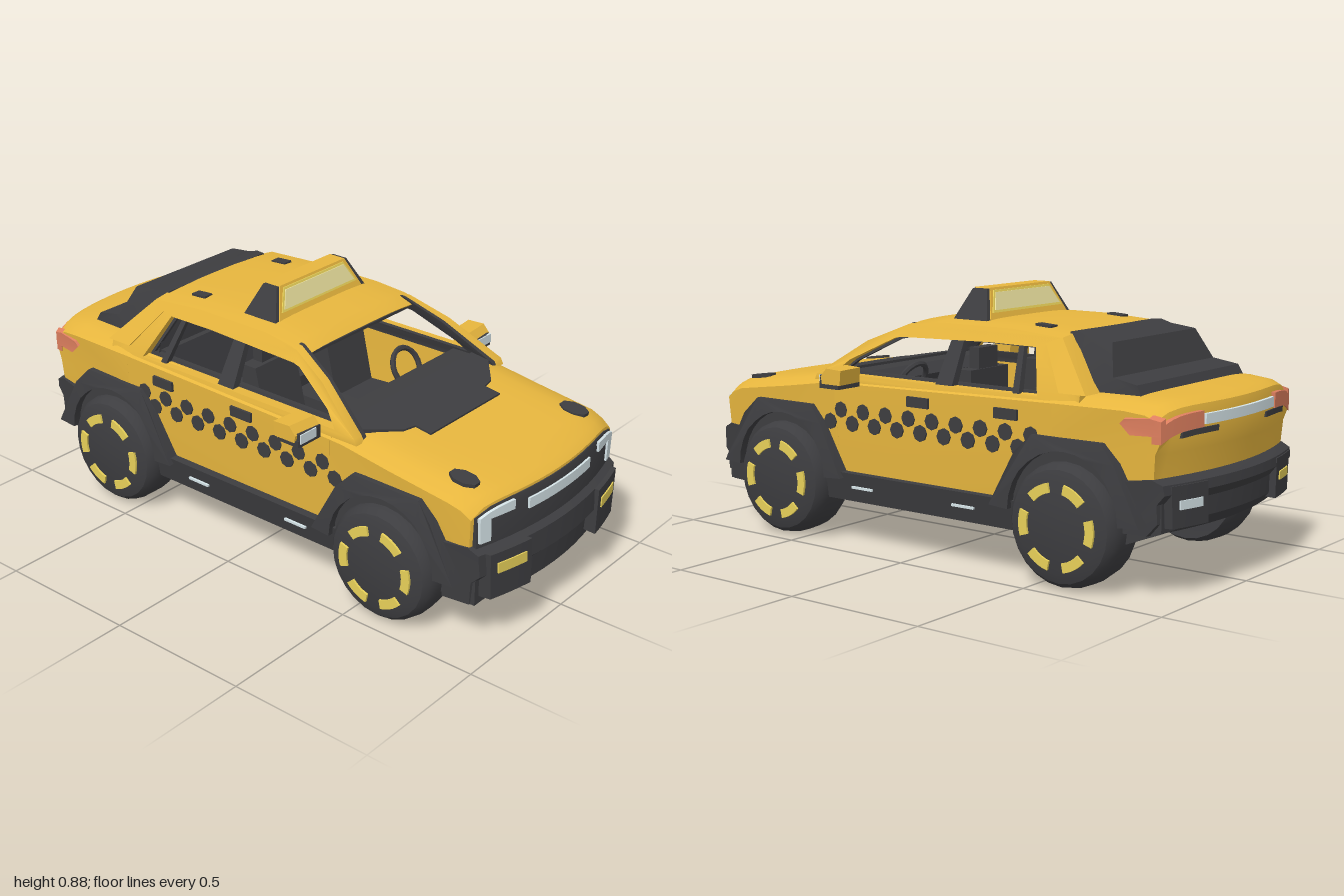
import * as THREE from 'three';
import { toCreasedNormals } from 'three/addons/utils/BufferGeometryUtils.js';

const mat = (name, color) => {
  const m = new THREE.MeshStandardMaterial({ color });
  m.name = name;
  return m;
};

export function createModel() {
  const car = new THREE.Group();
  car.name = 'taxi';
  const yellow = mat('taxi yellow', 0xe7b63e);
  const dark = mat('charcoal', 0x3d3d40);
  const cream = mat('sign cream', 0xfff4ac);
  const amber = mat('lamp yellow', 0xefd75c);
  const silver = mat('lamp silver', 0xdcebef);
  const red = mat('tail light red', 0xdc7e5e);

  const clamp = THREE.MathUtils.clamp;

  // Lower body: bowed ends, narrowing towards corners and sills, rounded shoulder
  const bodyWarp = (p) => {
    const t = Math.abs(p.x) / 0.41, a = Math.abs(p.z);
    const end = Math.max(0, a - 0.8);
    if (p.y > 0.45) p.y -= 0.035 * Math.min(1, t) ** 8;
    p.x *= (1 - 1.2 * end * end) * (1 - 0.15 * Math.max(0, 0.45 - p.y));
    p.z -= Math.sign(p.z) * 0.06 * t * t * clamp(end / 0.12, 0, 1);
  };
  // Cabin: sides lean inwards, roof slightly crowned
  const cabinWarp = (p) => {
    const t = Math.abs(p.x) / 0.4;
    p.x *= 1 - 0.25 * clamp((p.y - 0.58) / 0.19, 0, 1.1);
    if (p.y > 0.7) p.y -= 0.014 * t ** 4;
  };
  const rearGlassWarp = (p) => { p.x *= 1 - 0.22 * clamp((p.y - 0.63) / 0.13, 0, 1); };
  const signWarp = (p) => { p.x *= 1 - 0.25 * clamp((p.y - 0.79) / 0.09, 0, 1); };
  const archWarp = (p) => { if (p.y > 0.38 && Math.abs(p.x) > 0.42) p.x *= p.y > 0.45 ? 0.955 : 0.985; };

  const add = (name, geo, material, warp) => {
    if (warp) {
      const pos = geo.attributes.position, p = new THREE.Vector3();
      for (let i = 0; i < pos.count; i++) {
        p.fromBufferAttribute(pos, i);
        warp(p);
        pos.setXYZ(i, p.x, p.y, p.z);
      }
    }
    const mesh = new THREE.Mesh(toCreasedNormals(geo, 0.55), material);
    mesh.name = name;
    car.add(mesh);
  };
  // Side profile of [z, y] points extruded from x0 to x1
  const slab = (points, x0, x1, steps = 1, hole = null) => {
    const v = (list) => list.map(([z, y]) => new THREE.Vector2(z, y));
    const shape = new THREE.Shape(v(points));
    if (hole) shape.holes.push(new THREE.Path(v(hole)));
    const g = new THREE.ExtrudeGeometry(shape, { depth: x1 - x0, steps, bevelEnabled: false });
    return g.rotateY(-Math.PI / 2).translate(x1, 0, 0);
  };
  const sideSlab = (s, points, x0, x1, hole) =>
    s > 0 ? slab(points, x0, x1, 1, hole) : slab(points, -x1, -x0, 1, hole);
  const box = (x, y, z, w, h, d, n = 1) =>
    new THREE.BoxGeometry(w, h, d, n, 1, 1).translate(x, y, z);
  // Points along an arc, as [z, y]
  const arc = (r, from, to, n, z = 0, y = 0) => Array.from({ length: n + 1 }, (_, i) => {
    const a = from + (to - from) * i / n;
    return [z + r * Math.cos(a), y + r * Math.sin(a)];
  });

  // Hood and trunk blocks
  add('hood', slab([[0.36, 0.25], [0.36, 0.45], [0.36, 0.585], [0.42, 0.582], [0.6, 0.555], [0.85, 0.525],
    [0.93, 0.51], [0.96, 0.49], [0.965, 0.45], [0.955, 0.25]], -0.41, 0.41, 16), yellow, bodyWarp);
  add('trunk', slab([[-0.54, 0.25], [-0.54, 0.45], [-0.54, 0.605], [-0.8, 0.608], [-0.93, 0.6], [-0.965, 0.585],
    [-0.98, 0.52], [-0.965, 0.45], [-0.95, 0.25]], -0.41, 0.41, 16), yellow, bodyWarp);
  add('floor', slab([[0.92, 0.15], [-0.77, 0.15], [-0.92, 0.21], [-0.92, 0.3], [0.92, 0.3]], -0.38, 0.38), dark);

  // Roof with rear pillars' sloping backs
  add('roof', slab([[0.17, 0.745], [0.12, 0.772], [0, 0.786], [-0.3, 0.786], [-0.5, 0.772], [-0.65, 0.6],
    [-0.55, 0.6], [-0.45, 0.745], [0.15, 0.73]], -0.4, 0.4, 12), yellow, cabinWarp);
  add('headliner', slab([[0.145, 0.732], [-0.44, 0.748], [-0.44, 0.738], [0.145, 0.722]], -0.36, 0.36), dark, cabinWarp);
  add('rearWindow', slab([[-0.49, 0.772], [-0.52, 0.774], [-0.56, 0.762], [-0.65, 0.75], [-0.69, 0.65],
    [-0.78, 0.635], [-0.8, 0.6], [-0.5, 0.6]], -0.31, 0.31, 6), dark, rearGlassWarp);
  add('rearBulkhead', slab([[-0.44, 0.3], [-0.44, 0.58], [-0.455, 0.74], [-0.5, 0.74], [-0.56, 0.3]],
    -0.36, 0.36), dark, cabinWarp);

  // Windscreen base and dashboard
  const cowl = new THREE.Shape([[-0.35, 0.38], [-0.35, 0.44], [-0.24, 0.53], [-0.19, 0.54], [-0.19, 0.6],
    [0.19, 0.6], [0.19, 0.54], [0.24, 0.53], [0.35, 0.44], [0.35, 0.38]].map(([x, z]) => new THREE.Vector2(x, -z)));
  add('cowl', new THREE.ExtrudeGeometry(cowl, { depth: 0.012, bevelEnabled: false }).rotateX(-Math.PI / 2),
    dark, (p) => { p.y += 0.549 + (0.6 - p.z) * 0.15; });
  add('dashboard', slab([[0.43, 0.585], [0.3, 0.585], [0.26, 0.55], [0.28, 0.47], [0.34, 0.4], [0.34, 0.3],
    [0.4, 0.3]], -0.355, 0.355), dark);
  add('console', box(0, 0.37, 0.1, 0.1, 0.14, 0.4), dark);
  add('steeringWheel', new THREE.TorusGeometry(0.065, 0.01, 6, 20).rotateX(-0.5).translate(0.18, 0.55, 0.22), dark);

  // Seats
  for (const x of [-0.18, 0.18]) {
    add('frontSeat', slab([[0.14, 0.3], [0.15, 0.41], [-0.01, 0.4], [-0.06, 0.62], [-0.12, 0.62], [-0.12, 0.3]],
      x - 0.1, x + 0.1), dark);
    add('headrest', box(x, 0.655, -0.095, 0.1, 0.07, 0.04), dark);
  }
  add('rearSeat', slab([[-0.2, 0.3], [-0.2, 0.41], [-0.37, 0.4], [-0.42, 0.6], [-0.46, 0.6], [-0.46, 0.3]],
    -0.34, 0.34), dark);

  // Parts on both sides
  const pillarFrame = [[0.47, 0.555], [0.46, 0.575], [0.28, 0.695], [0.14, 0.768], [0, 0.778], [-0.49, 0.77],
    [-0.63, 0.6], [-0.63, 0.555]];
  const windowHole = [[0.38, 0.583], [0.33, 0.63], [0.17, 0.725], [0.08, 0.742], [-0.41, 0.738], [-0.475, 0.583]];
  const liningHole = [[0.36, 0.592], [0.322, 0.625], [0.165, 0.715], [0.08, 0.731], [-0.402, 0.727], [-0.46, 0.592]];
  const archOuter = [[0.28, 0.23], [0.185, 0.41], [0.13, 0.468], [-0.13, 0.468], [-0.185, 0.41], [-0.28, 0.23]];
  const tyre = [[0, -0.08], [0.14, -0.08], [0.18, -0.085], [0.194, -0.06], [0.2, -0.02], [0.2, 0.03],
    [0.193, 0.062], [0.178, 0.08], [0.145, 0.091], [0, 0.093]].map(([r, y]) => new THREE.Vector2(r, y));

  for (const s of [1, -1]) {
    add('doors', sideSlab(s, [[0.37, 0.25], [0.37, 0.45], [0.37, 0.585], [-0.55, 0.605], [-0.55, 0.45],
      [-0.55, 0.25]], 0.37, 0.41), yellow, bodyWarp);
    add('cabinSide', sideSlab(s, pillarFrame, 0.362, 0.4, windowHole), yellow, cabinWarp);
    add('windowTrim', sideSlab(s, pillarFrame, 0.345, 0.362, liningHole), dark, cabinWarp);
    add('centrePillar', sideSlab(s, [[-0.06, 0.57], [-0.07, 0.75], [-0.12, 0.75], [-0.13, 0.57]], 0.365, 0.397),
      dark, cabinWarp);
    add('quarterPillar', sideSlab(s, [[-0.375, 0.57], [-0.34, 0.75], [-0.36, 0.75], [-0.4, 0.57]], 0.37, 0.395),
      dark, cabinWarp);
    add('sill', sideSlab(s, [[0.42, 0.15], [0.42, 0.25], [-0.42, 0.25], [-0.42, 0.15]], 0.36, 0.428), dark,
      (p) => { if (p.y < 0.2) p.x *= 0.95; });
    for (const z of [0.235, -0.2]) add('sillMark', box(s * 0.424, 0.203, z, 0.008, 0.008, 0.09), silver);

    // Wheels and arches
    for (const z of [0.6, -0.6]) {
      const outline = archOuter.map(([a, y]) => [a + z, y]);
      add('wheelWell', sideSlab(s, outline, 0.3, 0.416), dark);
      add('wheelArch', sideSlab(s, [...outline, ...arc(0.206, Math.PI, 0, 14, z, 0.225)], 0.39, 0.444), dark, archWarp);
      const wheel = new THREE.LatheGeometry(tyre, 24).rotateZ(-Math.PI / 2 * s);
      add('wheel', wheel.translate(s * 0.375, 0.2, z), dark);
      for (let i = 0; i < 6; i++) {
        const a = i * Math.PI / 3, h = 0.31;
        add('wheelAccent', sideSlab(s, [...arc(0.109, a - h, a + h, 5, z, 0.2), ...arc(0.14, a + h, a - h, 5, z, 0.2)],
          0.466, 0.474), amber);
      }
    }

    // Checker band and door handles
    for (let i = 0; i < 18; i++) {
      const dot = new THREE.CylinderGeometry(0.028, 0.028, 0.006, 8).rotateZ(Math.PI / 2);
      add('check', dot.translate(s * 0.409, i % 2 ? 0.462 : 0.418, 0.39 - i * 0.05), dark);
    }
    for (const z of [-0.005, -0.365]) add('doorHandle', box(s * 0.41, 0.52, z, 0.018, 0.034, 0.09), dark);

    // Mirrors
    add('mirrorArm', box(s * 0.405, 0.565, 0.3, 0.07, 0.03, 0.04), dark);
    add('mirrorShell', sideSlab(s, [[0.25, 0.565], [0.245, 0.615], [0.31, 0.618], [0.335, 0.59], [0.33, 0.565]],
      0.415, 0.522), yellow, (p) => { if (Math.abs(p.x) > 0.5) p.z -= 0.01; });
    add('mirrorBase', box(s * 0.466, 0.561, 0.292, 0.104, 0.022, 0.084), dark);
    add('mirrorTrim', box(s * 0.464, 0.572, 0.322, 0.098, 0.044, 0.028), dark);
    add('mirrorLamp', box(s * 0.476, 0.578, 0.336, 0.074, 0.032, 0.008), silver);

    // Hood vents and roof caps
    add('hoodVent', new THREE.CylinderGeometry(0.042, 0.042, 0.012, 8, 1, false, Math.PI / 8).scale(0.85, 1, 1.25)
      .rotateX(0.12).translate(s * 0.308, 0.526, 0.815), dark);
    add('roofCap', box(0, 0, 0, 0.036, 0.012, 0.062).rotateX(-0.07).translate(s * 0.205, 0.778, -0.37), dark);

    // Front lamps
    add('headlightTop', box(s * 0.319, 0.46, 0.975, 0.142, 0.034, 0.01, 4), silver, bodyWarp);
    add('headlightSide', box(s * 0.369, 0.417, 0.975, 0.042, 0.104, 0.01), silver, bodyWarp);
    add('bumperPod', box(s * 0.298, 0.255, 0.975, 0.18, 0.16, 0.075, 4), dark, bodyWarp);
    add('fogLight', box(s * 0.298, 0.281, 1.013, 0.125, 0.036, 0.008, 3), amber, bodyWarp);

    // Tail lamps, wrapping round the corner
    add('tailLightRear', box(s * 0.322, 0.542, -0.97, 0.182, 0.05, 0.03, 8), red, bodyWarp);
    add('tailLightSide', sideSlab(s, [[-0.79, 0.57], [-0.81, 0.585], [-0.95, 0.592], [-0.985, 0.585], [-0.985, 0.54],
      [-0.85, 0.538]], 0.395, 0.414), red, bodyWarp);
    add('tailTrim', box(s * 0.24, 0.507, -0.976, 0.17, 0.018, 0.016, 3), dark, bodyWarp);
    add('rearBumperPod', box(s * 0.31, 0.29, -0.97, 0.16, 0.13, 0.06, 3), dark, bodyWarp);
    add('rearBumperLamp', box(s * 0.31, 0.295, -1.0, 0.1, 0.028, 0.01, 2), s > 0 ? silver : amber, bodyWarp);
  }

  // Grille and bumpers
  add('grille', slab([[0.9, 0.33], [0.9, 0.48], [0.965, 0.482], [0.972, 0.46], [0.972, 0.33]], -0.398, 0.398, 12),
    dark, bodyWarp);
  add('grilleBar', box(0, 0.437, 0.974, 0.36, 0.036, 0.01, 8), silver, bodyWarp);
  add('frontBumper', slab([[0.82, 0.15], [0.82, 0.35], [0.96, 0.355], [0.995, 0.335], [1.0, 0.26], [0.97, 0.23],
    [0.965, 0.15]], -0.416, 0.416, 12), dark, bodyWarp);
  add('rearBumper', slab([[-0.8, 0.2], [-0.8, 0.36], [-0.96, 0.375], [-0.995, 0.36], [-1.0, 0.33], [-0.975, 0.3],
    [-0.975, 0.24], [-0.94, 0.2]], -0.42, 0.42, 12), dark, bodyWarp);
  add('tailBar', box(0, 0.54, -0.979, 0.44, 0.032, 0.012, 8), silver, bodyWarp);

  // Roof sign
  const signProfile = (y0, y1, grow) => {
    const off = (y) => 0.07 - 0.4 * (y - 0.78) + grow;
    return [[-0.08 + off(y0), y0], [-0.08 + off(y1), y1], [-0.08 - off(y1), y1], [-0.08 - off(y0), y0]];
  };
  add('signEnds', slab(signProfile(0.765, 0.88, 0), -0.24, 0.24), dark, signWarp);
  add('signBody', slab(signProfile(0.765, 0.883, 0.003), -0.222, 0.222), yellow, signWarp);
  add('signFrame', slab(signProfile(0.804, 0.875, 0.006), -0.202, 0.202), amber, signWarp);
  add('signPanel', slab(signProfile(0.812, 0.868, 0.009), -0.192, 0.192), cream, signWarp);

  return car;
}
